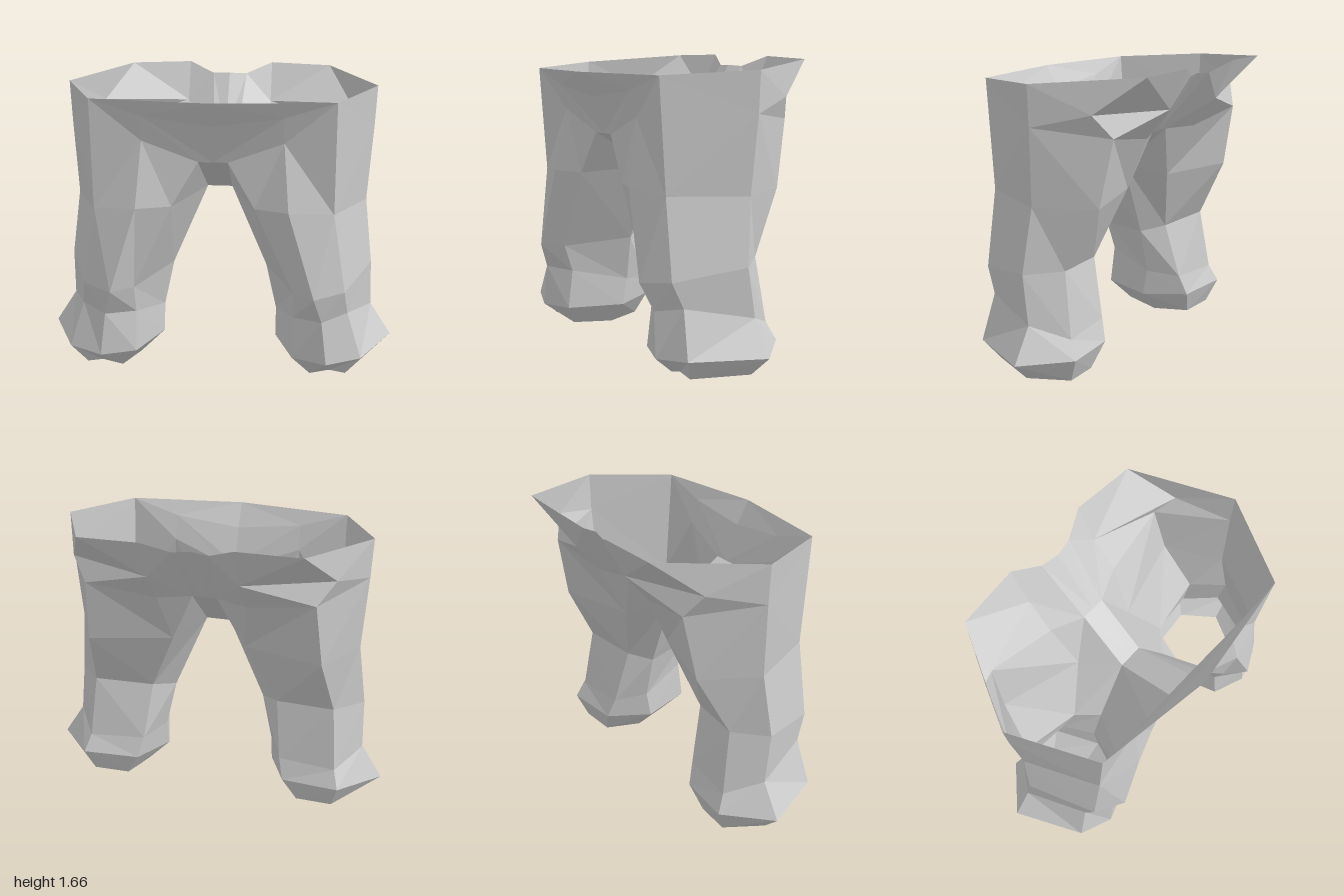
import * as THREE from 'three';

const material = new THREE.MeshStandardMaterial({ color: 0xcccccc, flatShading: true, side: THREE.DoubleSide });

// Leg rings from thigh to hem: outer, frontOuter, frontMid, frontInner, inner, backInner, backOuter
const rings = [
  [[.83, .97, .02], [.65, .98, .42], [.41, 1, .49], [.225, 1, .42], [.07, 1.03, .05], [.21, .97, -.16], [.67, .97, -.29]],
  [[.87, .61, .06], [.72, .55, .43], [.555, .53, .52], [.44, .53, .42], [.27, .57, .06], [.38, .6, -.05], [.72, .62, -.105]],
  [[.88, .34, .02], [.74, .41, .37], [.6, .38, .46], [.44, .37, .37], [.33, .3, .05], [.42, .27, -.13], [.75, .26, -.16]],
  [[1, .155, .02], [.82, .155, .4], [.63, .135, .47], [.44, .14, .4], [.33, .14, .08], [.45, .15, -.17], [.78, .16, -.21]],
  [[.88, .04, .04], [.74, .03, .33], [.65, .045, .33], [.54, .01, .31], [.47, 0, .08], [.53, .01, -.13], [.74, .02, -.15]],
];

// Hip corners of the +x half
const [O, FO, FM, FI, I, BI, BO] = rings[0];
const waistFront = [0, 1.585, .55], waistCorner = [.65, 1.585, .46], waistSide = [.87, 1.61, 0];
const waistBack = [.6, 1.65, -.53], waistSeat = [.25, 1.66, -.555];
const waistDip = [.1, 1.6, -.485], waistCentre = [0, 1.605, -.465];
const bandCentre = [0, 1.45, .475], bandMid = [.38, 1.5, .46], thighTop = [.38, 1.36, .425];
const forkFront = [.08, 1.245, .4], forkFront0 = [0, 1.245, .4], fork0 = [0, 1.03, .05];
const forkBack = [.07, 1.27, -.23], forkBack0 = [0, 1.27, -.23];
const sideMid = [.86, 1.39, 0], seatOuter = [.73, 1.46, -.29], seat = [.25, 1.44, -.45];
const foldOuter = [.64, 1.335, -.36], fold = [.25, 1.27, -.31];

const waistbandFaces = [[waistFront, bandCentre, bandMid, waistCorner]];
const hipFaces = [
  // front
  [bandMid, bandCentre, forkFront0, forkFront, thighTop],
  [thighTop, FM, FO, waistCorner, bandMid],
  [thighTop, forkFront, FI, FM],
  // crotch
  [forkFront, I, FI],
  [forkFront0, fork0, I, forkFront],
  [fork0, forkBack0, forkBack, I],
  [I, forkBack, BI],
  // seat
  [forkBack0, waistCentre, waistDip, forkBack],
  [seat, fold, forkBack, waistDip, waistSeat],
  [seat, waistSeat, waistBack, seatOuter],
  [foldOuter, fold, seat, seatOuter],
  [forkBack, fold, BI],
  [BI, fold, foldOuter, BO],
  // side
  [foldOuter, seatOuter, sideMid],
  [seatOuter, waistBack, waistSide, sideMid],
  [BO, foldOuter, sideMid, O],
  [sideMid, waistSide, waistCorner, FO, O],
];

// Quads between neighbouring rings, creased the other way at the back; the hem stays open
const legFaces = [];
for (let r = 0; r < rings.length - 1; r++) {
  const up = rings[r], low = rings[r + 1];
  for (let i = 0; i < up.length; i++) {
    const j = (i + 1) % up.length;
    legFaces.push(i < 5 ? [up[i], up[j], low[j], low[i]] : [up[j], low[j], low[i], up[i]]);
  }
}

// Fan each polygon into triangles, mirrored when side is -1
function panel(name, faces, side) {
  const positions = [];
  for (const face of faces) {
    for (let i = 1; i < face.length - 1; i++) {
      const tri = side > 0 ? [face[0], face[i], face[i + 1]] : [face[0], face[i + 1], face[i]];
      for (const [x, y, z] of tri) positions.push(x * side, y, z);
    }
  }
  const geometry = new THREE.BufferGeometry();
  geometry.setAttribute('position', new THREE.Float32BufferAttribute(positions, 3));
  geometry.computeVertexNormals();
  const mesh = new THREE.Mesh(geometry, material);
  mesh.name = name;
  return mesh;
}

export function createModel() {
  const trousers = new THREE.Group();
  trousers.name = 'trousers';
  for (const [label, side] of [['left', 1], ['right', -1]]) {
    trousers.add(
      panel(label + 'Waistband', waistbandFaces, side),
      panel(label + 'Hip', hipFaces, side),
      panel(label + 'Leg', legFaces, side),
    );
  }
  return trousers;
}
